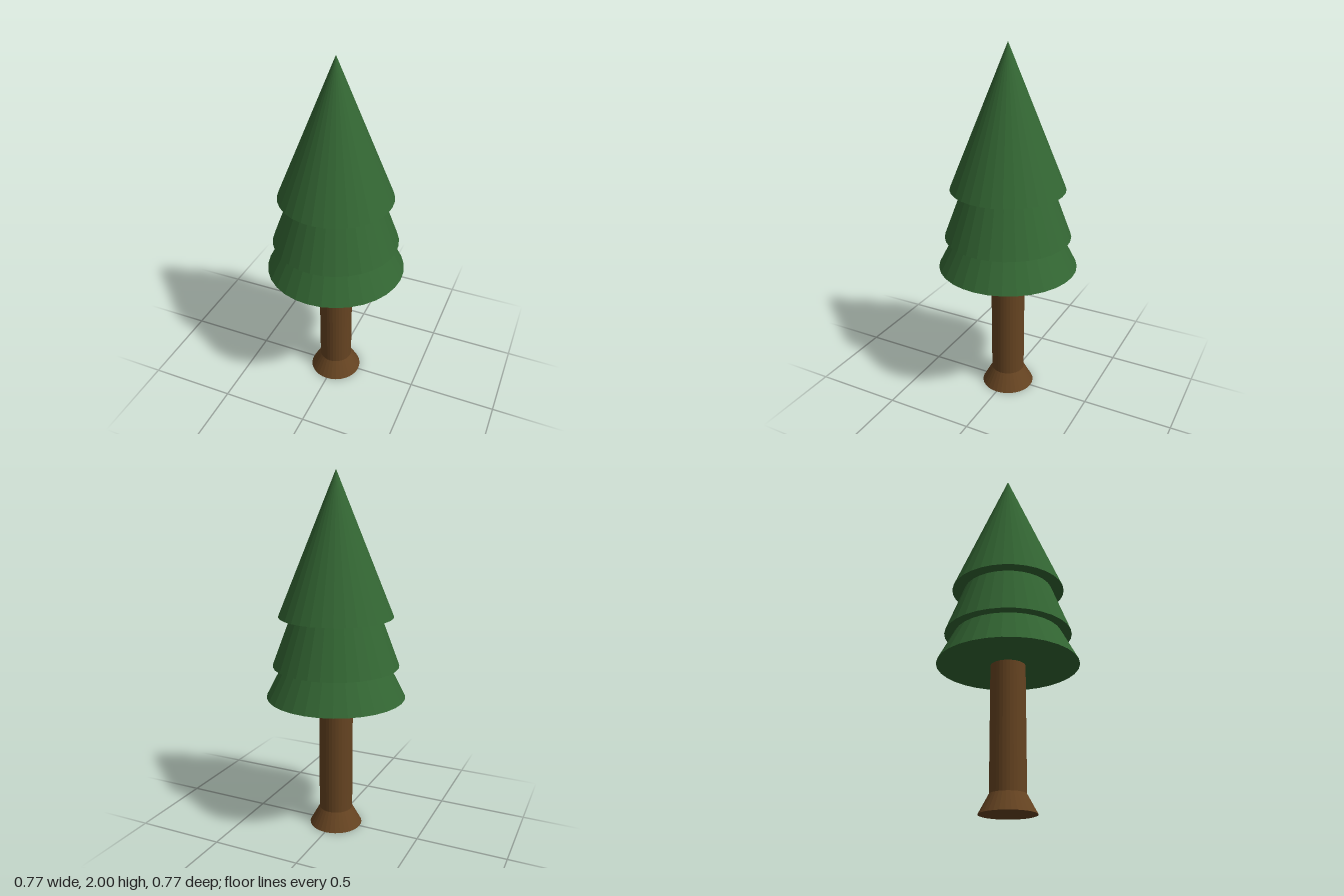
import * as THREE from 'three';

const SIDES = 32;

export function createModel() {
  const tree = new THREE.Group();
  tree.name = 'pineTree';

  const bark = new THREE.MeshStandardMaterial({ color: 0x654321, flatShading: true });
  const needles = new THREE.MeshStandardMaterial({ color: 0x336633, flatShading: true });

  // Adds a closed round part standing between two heights
  function addRound(name, material, bottomY, topY, bottomRadius, topRadius) {
    const height = topY - bottomY;
    const geometry = new THREE.CylinderGeometry(topRadius, bottomRadius, height, SIDES);
    const mesh = new THREE.Mesh(geometry, material);
    mesh.name = name;
    mesh.position.y = bottomY + height / 2;
    tree.add(mesh);
  }

  // Trunk with a flared foot
  addRound('trunkFoot', bark, 0, 0.1, 0.15, 0.095);
  addRound('trunk', bark, 0.1, 0.8, 0.095, 0.095);

  // Three nested cones of foliage
  addRound('lowerFoliage', needles, 0.78, 1.53, 0.387, 0);
  addRound('middleFoliage', needles, 0.957, 1.89, 0.35, 0);
  addRound('upperFoliage', needles, 1.23, 2, 0.315, 0);

  return tree;
}
